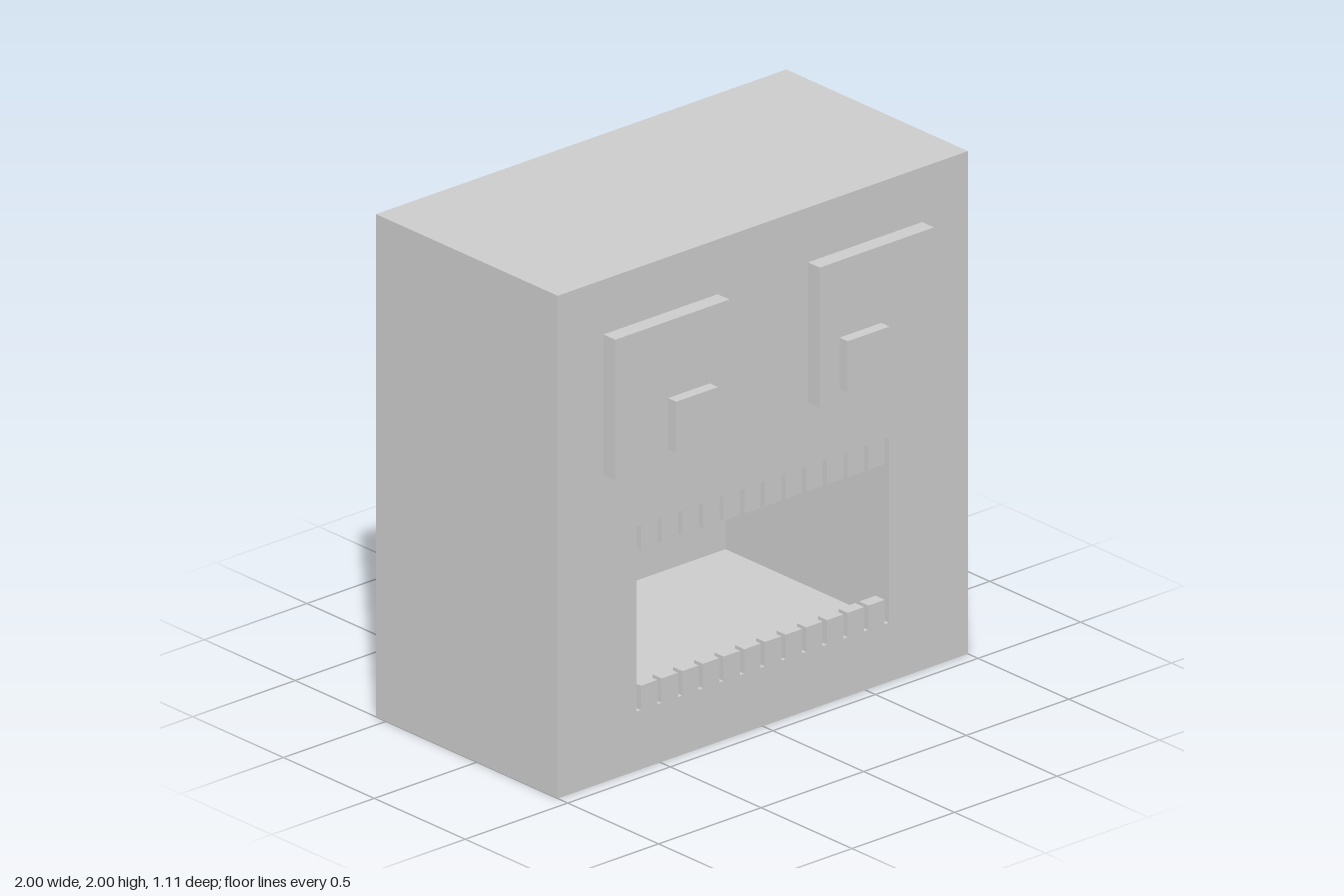
import * as THREE from 'three';

const BACK = -0.555, FRONT = 0.445, WALL = 0.1;
const MOUTH = { x: 0.615, bottom: 0.235, top: 0.972 };

export function createModel() {
  const group = new THREE.Group();
  const material = new THREE.MeshStandardMaterial({ color: 0xcccccc, flatShading: true });

  // Box given by its lower and upper limits on each axis
  const block = (name, [x0, x1], [y0, y1], [z0, z1]) => {
    const mesh = new THREE.Mesh(new THREE.BoxGeometry(x1 - x0, y1 - y0, z1 - z0), material);
    mesh.position.set((x0 + x1) / 2, (y0 + y1) / 2, (z0 + z1) / 2);
    mesh.name = name;
    group.add(mesh);
  };

  // Body with a deep rectangular mouth, closed by a back wall
  const outline = new THREE.Shape([[-1, 0], [1, 0], [1, 2], [-1, 2]].map(p => new THREE.Vector2(...p)));
  const { x: mx, bottom, top } = MOUTH;
  outline.holes.push(new THREE.Path(
    [[-mx, bottom], [-mx, top], [mx, top], [mx, bottom]].map(p => new THREE.Vector2(...p))));
  const body = new THREE.Mesh(
    new THREE.ExtrudeGeometry(outline, { depth: FRONT - BACK - WALL, bevelEnabled: false }), material);
  body.position.z = BACK + WALL;
  body.name = 'body';
  group.add(body);
  block('backWall', [-1, 1], [0, 2], [BACK, BACK + WALL]);

  // Eyes: square plates with pupils set low and towards the middle
  for (const [side, s] of [['left', 1], ['right', -1]]) {
    const span = (a, b) => (s > 0 ? [a, b] : [-b, -a]);
    block(side + 'Eye', span(0.22, 0.777), [1.223, 1.782], [FRONT, 0.51]);
    block(side + 'Pupil', span(0.316, 0.52), [1.272, 1.476], [0.51, 0.555]);
  }

  // Two rows of thin teeth, flush with the face and evenly spaced
  const count = 12, width = 0.08, thickness = 0.05;
  const gap = (2 * mx - count * width) / (count + 1);
  for (let i = 0; i < count; i++) {
    const x = -mx + gap + i * (width + gap);
    block('upperTooth', [x, x + width], [0.872, top], [FRONT - thickness, FRONT]);
    block('lowerTooth', [x, x + width], [bottom, 0.332], [FRONT - thickness, FRONT]);
  }
  return group;
}
